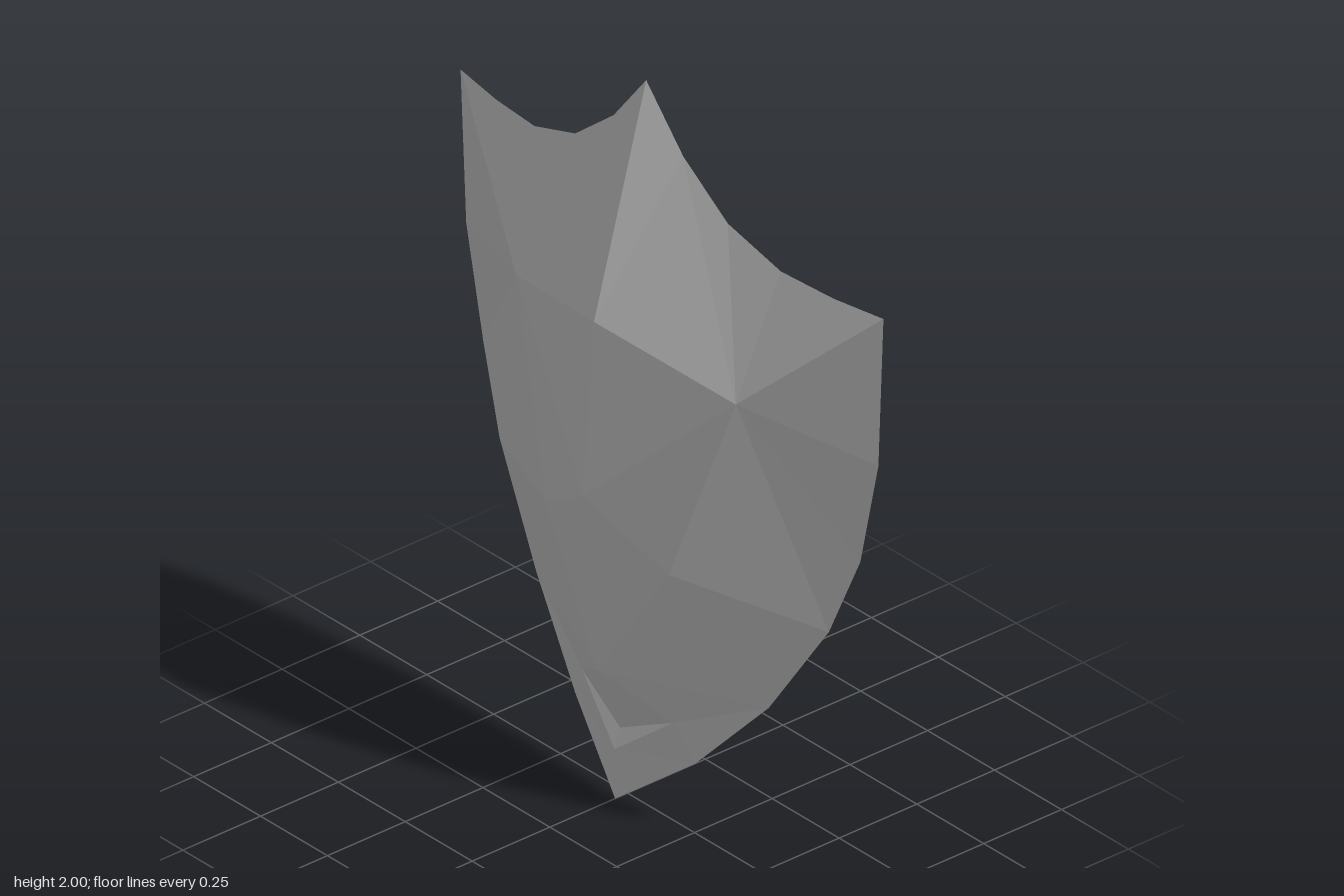
import * as THREE from 'three';

// Corner points of the left (+x) half; points with x = 0 lie on the centre ridge
const P = {
  // scalloped top edge
  peak: [0, 2, -0.06], top1: [0.13, 1.84, -0.067], top2: [0.285, 1.715, -0.077],
  top3: [0.46, 1.65, -0.097], top4: [0.63, 1.64, -0.12], corner: [0.79, 1.645, -0.143],
  // curved side edge down to the point
  side1: [0.77, 1.22, -0.144], side2: [0.705, 0.92, -0.142], side3: [0.615, 0.69, -0.118],
  side4: [0.435, 0.41, -0.08], side5: [0.225, 0.18, -0.025], point: [0, 0.005, 0.04],
  // ridge and inner facet corners
  brow: [0, 1.38, 0.108], shoulder: [0.41, 1.29, 0.005], boss: [0, 0.9, 0.143],
  waist: [0.23, 0.75, 0.065], chin: [0, 0.39, 0.095], notchEnd: [0.17, 0.28, 0],
  lip: [0, 0.2, 0.024], keel: [0, 0.145, 0.042],
};

// Facets of each panel on the +x half, counter-clockwise from the front
const PANELS = {
  upperPanel: [
    'peak brow top1', 'top1 brow shoulder', 'top1 shoulder top2',
    'top2 shoulder top3', 'top3 shoulder top4', 'top4 shoulder corner',
  ],
  mainFace: [
    'brow boss shoulder', 'shoulder side1 corner', 'shoulder side2 side1',
    'shoulder side3 side2', 'shoulder waist side3', 'boss waist shoulder',
    'boss chin waist', 'waist side4 side3', 'chin side4 waist', 'chin notchEnd side4',
  ],
  notch: ['chin lip notchEnd', 'lip keel notchEnd'],
  lowerTip: ['keel side5 notchEnd', 'notchEnd side5 side4', 'keel point side5'],
};

// Builds the facets and their mirror image, with reversed winding
function facetGeometry(facets) {
  const pos = [];
  for (const facet of facets) {
    const [a, b, c] = facet.split(' ').map((n) => P[n]);
    pos.push(...a, ...b, ...c);
    for (const [x, y, z] of [a, c, b]) pos.push(-x, y, z);
  }
  const g = new THREE.BufferGeometry();
  g.setAttribute('position', new THREE.Float32BufferAttribute(pos, 3));
  g.computeVertexNormals();
  return g;
}

export function createModel() {
  const metal = new THREE.MeshStandardMaterial({
    color: 0xcccccc, flatShading: true, side: THREE.DoubleSide,
  });
  metal.name = 'light grey';

  const shield = new THREE.Group();
  shield.name = 'shield';
  for (const [name, facets] of Object.entries(PANELS)) {
    const mesh = new THREE.Mesh(facetGeometry(facets), metal);
    mesh.name = name;
    shield.add(mesh);
  }
  return shield;
}
